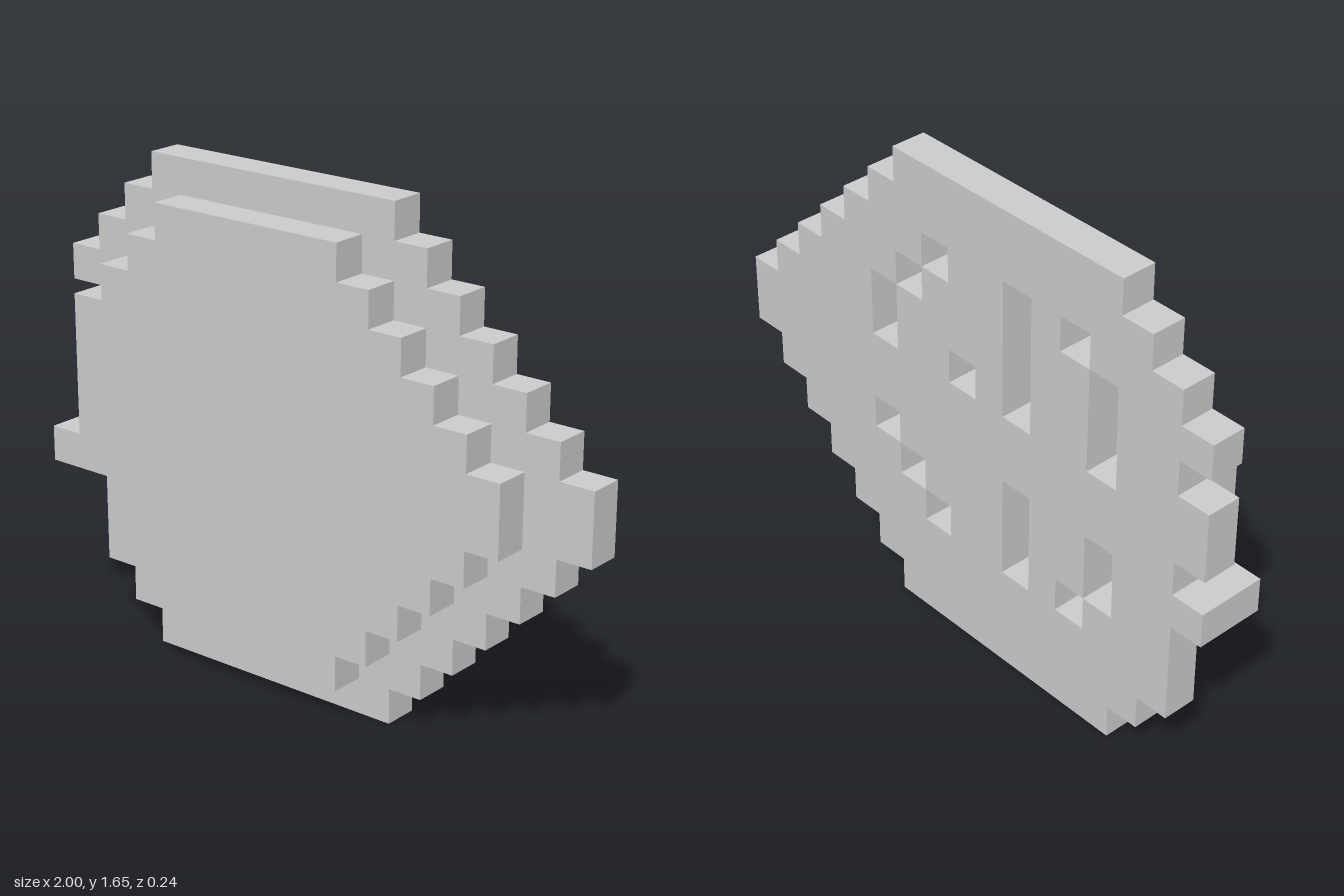
import * as THREE from 'three';
import { mergeGeometries } from 'three/addons/utils/BufferGeometryUtils.js';

const U = 2 / 17; // edge of one block

// First and last filled column of each row, bottom row first
const backRows = [
  [3, 10], [2, 11], [1, 12], [1, 13], [1, 14], [0, 15], [1, 16],
  [0, 16], [0, 15], [1, 14], [0, 13], [1, 12], [2, 11], [3, 10],
];
const frontRows = [
  null, [4, 9], [3, 10], [2, 11], [2, 12], [0, 13], [1, 14],
  [1, 14], [1, 13], [1, 12], [2, 11], [3, 10], [4, 9], null,
];

// Slots cut through the back plate: column, lowest row, highest row
const slots = [
  [11, 8, 9], [10, 10, 10], [9, 11, 11], [8, 8, 8], [6, 8, 11], [4, 11, 11], [3, 8, 10],
  [11, 5, 5], [10, 4, 4], [9, 3, 3], [6, 3, 5], [4, 3, 3], [3, 4, 5],
];

const inRow = (rows, x, y) => !!rows[y] && x >= rows[y][0] && x <= rows[y][1];
const inSlot = (x, y) => slots.some(([c, lo, hi]) => x === c && y >= lo && y <= hi);

// Layer 0 is the back plate, layer 1 the front plate
function filled(x, y, layer) {
  if (layer === 0) return inRow(backRows, x, y) && !inSlot(x, y);
  return layer === 1 && inRow(frontRows, x, y);
}

// The six sides of a block: direction and the turn that points a plane that way
const sides = [
  { d: [0, 0, 1], rx: 0, ry: 0 },
  { d: [0, 0, -1], rx: 0, ry: Math.PI },
  { d: [1, 0, 0], rx: 0, ry: Math.PI / 2 },
  { d: [-1, 0, 0], rx: 0, ry: -Math.PI / 2 },
  { d: [0, 1, 0], rx: -Math.PI / 2, ry: 0 },
  { d: [0, -1, 0], rx: Math.PI / 2, ry: 0 },
];

// Only the exposed faces of one layer of blocks
function plateGeometry(layer) {
  const faces = [];
  for (let y = 0; y < 14; y++) {
    for (let x = 0; x < 17; x++) {
      if (!filled(x, y, layer)) continue;
      for (const { d, rx, ry } of sides) {
        if (filled(x + d[0], y + d[1], layer + d[2])) continue;
        const face = new THREE.PlaneGeometry(U, U).rotateX(rx).rotateY(ry);
        face.translate(
          -1 + (x + 0.5 + d[0] / 2) * U,
          (y + 0.5 + d[1] / 2) * U,
          (layer - 0.5 + d[2] / 2) * U,
        );
        faces.push(face);
      }
    }
  }
  return mergeGeometries(faces);
}

export function createModel() {
  const group = new THREE.Group();
  group.name = 'steppedPlaque';
  const grey = new THREE.MeshStandardMaterial({ color: 0xcccccc });
  grey.name = 'light grey';

  ['slottedBackPlate', 'frontPlate'].forEach((name, layer) => {
    const plate = new THREE.Mesh(plateGeometry(layer), grey);
    plate.name = name;
    group.add(plate);
  });
  return group;
}
